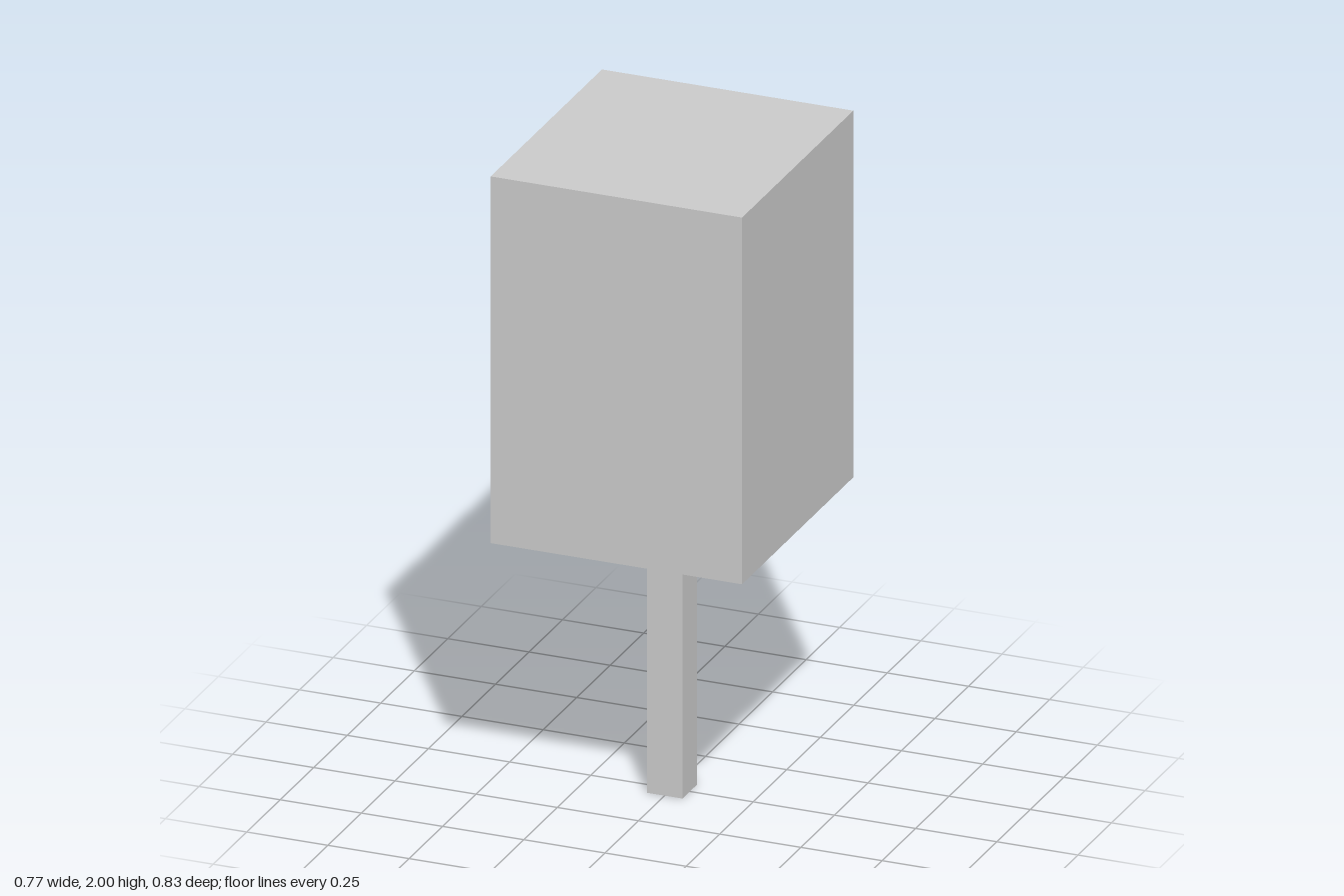
import * as THREE from 'three';

const material = new THREE.MeshStandardMaterial({
  color: 0xcccccc, flatShading: true, side: THREE.DoubleSide,
});

// Box without its underside, spanning bottom..top in height
function openBox(name, width, depth, bottom, top) {
  const geometry = new THREE.BoxGeometry(width, top - bottom, depth);
  const index = Array.from(geometry.index.array);
  index.splice(18, 6); // the -y face
  geometry.setIndex(index);
  geometry.clearGroups();
  geometry.translate(0, (bottom + top) / 2, 0);
  const mesh = new THREE.Mesh(geometry, material);
  mesh.name = name;
  return mesh;
}

export function createModel() {
  const tree = new THREE.Group();
  tree.name = 'tree';
  // Trunk reaches up inside the hollow crown
  tree.add(openBox('trunk', 0.11, 0.11, 0, 1.13));
  tree.add(openBox('crown', 0.774, 0.83, 0.863, 2));
  return tree;
}
